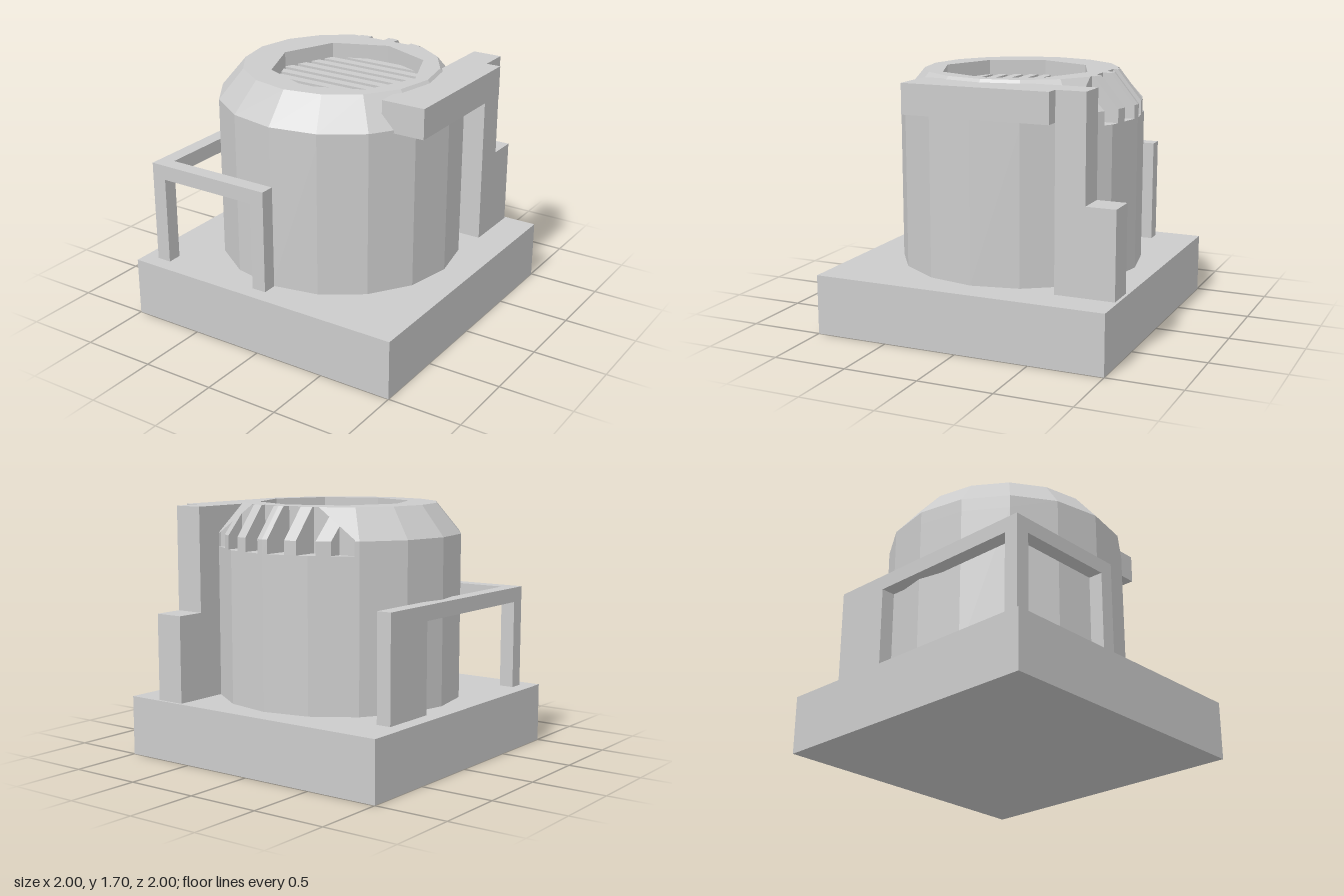
import * as THREE from 'three';

const material = new THREE.MeshStandardMaterial({ color: 0xcccccc, flatShading: true, side: THREE.DoubleSide });

// Drum dimensions
const CX = -0.015, CZ = -0.02, SIDES = 16;
const R = 0.82, R_TOP = 0.655, Y_SLOT = 1.41, Y_RIM = 1.5, Y_TOP = 1.7;
const Z_SLOT = -0.61;
const slots = [-0.51, -0.31, -0.11, 0.09, 0.29, 0.49].map((x) => [x - 0.06, x + 0.06]);

function add(group, name, geometry, x = 0, y = 0, z = 0) {
  const mesh = new THREE.Mesh(geometry, material);
  mesh.name = name;
  mesh.position.set(x, y, z);
  group.add(mesh);
  return mesh;
}

// Box given by its minimum and maximum on each axis
function block(group, name, x0, x1, y0, y1, z0, z1) {
  add(group, name, new THREE.BoxGeometry(x1 - x0, y1 - y0, z1 - z0),
    (x0 + x1) / 2, (y0 + y1) / 2, (z0 + z1) / 2);
}

// Corner of a drum ring
function corner(i, r, y) {
  const a = (i / SIDES) * Math.PI * 2;
  return [CX + r * Math.sin(a), y, CZ + r * Math.cos(a)];
}

// Keep the part of a polygon where sign * (coordinate - limit) >= 0
function clip(poly, axis, limit, sign) {
  const out = [];
  poly.forEach((p, i) => {
    const q = poly[(i + 1) % poly.length];
    const dp = sign * (p[axis] - limit), dq = sign * (q[axis] - limit);
    if (dp >= 0) out.push(p);
    if ((dp >= 0) !== (dq >= 0)) {
      const t = dp / (dp - dq);
      out.push(p.map((v, k) => v + (q[k] - v) * t));
    }
  });
  return out;
}

// The teeth left standing between the slots
function teethOf(poly) {
  const back = clip(poly, 2, Z_SLOT, -1);
  const edges = [-2, ...slots.flat(), 2];
  const pieces = [];
  for (let i = 0; i < edges.length; i += 2) {
    pieces.push(clip(clip(back, 0, edges[i], 1), 0, edges[i + 1], -1));
  }
  return pieces;
}

// Drum ring radius through a point, and the roof height there
function ringRadius(x, z) {
  let d = 0;
  for (let k = 0; k < SIDES; k++) {
    const a = ((k + 0.5) / SIDES) * Math.PI * 2;
    d = Math.max(d, (x - CX) * Math.sin(a) + (z - CZ) * Math.cos(a));
  }
  return d / Math.cos(Math.PI / SIDES);
}
function roof(x, z) {
  const t = THREE.MathUtils.clamp((ringRadius(x, z) - R_TOP) / (R - R_TOP), 0, 1);
  return Y_TOP - t * (Y_TOP - Y_RIM);
}
function outerZ(x) {
  let inside = CZ, outside = -1;
  for (let i = 0; i < 30; i++) {
    const mid = (inside + outside) / 2;
    if (ringRadius(x, mid) < R) inside = mid; else outside = mid;
  }
  return inside;
}

// Vertical slot wall from the slot floor up to the roof
function wall(x0, z0, x1, z1) {
  const polys = [], n = 12;
  const at = (i) => [x0 + (x1 - x0) * i / n, z0 + (z1 - z0) * i / n];
  for (let i = 0; i < n; i++) {
    const [ax, az] = at(i), [bx, bz] = at(i + 1);
    if (ringRadius(ax, az) > R + 1e-4 || ringRadius(bx, bz) > R + 1e-4) continue;
    polys.push([[ax, Y_SLOT, az], [ax, roof(ax, az), az], [bx, roof(bx, bz), bz], [bx, Y_SLOT, bz]]);
  }
  return polys;
}

function fromPolygons(polys) {
  const positions = [];
  for (const p of polys) {
    for (let i = 1; i < p.length - 1; i++) positions.push(...p[0], ...p[i], ...p[i + 1]);
  }
  const geometry = new THREE.BufferGeometry();
  geometry.setAttribute('position', new THREE.Float32BufferAttribute(positions, 3));
  geometry.computeVertexNormals();
  return geometry;
}

function createDrum() {
  const drum = new THREE.Group();
  drum.name = 'drum';
  add(drum, 'drumBody', new THREE.CylinderGeometry(R, R, Y_SLOT - 0.4, SIDES), CX, (Y_SLOT + 0.4) / 2, CZ);

  // Rim and chamfer, notched at the back
  const shell = [];
  for (let i = 0; i < SIDES; i++) {
    for (const [r0, y0, r1, y1] of [[R, Y_SLOT, R, Y_RIM], [R, Y_RIM, R_TOP, Y_TOP]]) {
      const quad = [corner(i, r0, y0), corner(i + 1, r0, y0), corner(i + 1, r1, y1), corner(i, r1, y1)];
      shell.push(clip(quad, 2, Z_SLOT, 1), ...teethOf(quad));
    }
  }
  const topRing = Array.from({ length: SIDES }, (_, i) => corner(i, R_TOP, Y_TOP));
  shell.push(...teethOf(topRing));
  add(drum, 'drumShoulder', fromPolygons(shell));

  // Slot walls
  const walls = [];
  for (const [a, b] of slots) {
    walls.push(...wall(b, Z_SLOT, a, Z_SLOT));
    for (const [x, flip] of [[a, false], [b, true]]) {
      const z = outerZ(x);
      if (z >= Z_SLOT) continue;
      walls.push(...(flip ? wall(x, z, x, Z_SLOT) : wall(x, Z_SLOT, x, z)));
    }
  }
  add(drum, 'slotWalls', fromPolygons(walls));

  // Top face with the octagonal opening
  const ox = 0.05, oz = 0, or = 0.51, floorY = 1.54;
  const shape = new THREE.Shape(clip(topRing, 2, Z_SLOT, 1).map((p) => new THREE.Vector2(p[0], -p[2])));
  shape.holes.push(new THREE.Path(Array.from({ length: 8 }, (_, i) => {
    const a = (i * Math.PI) / 4;
    return new THREE.Vector2(ox + or * Math.cos(a), -oz + or * Math.sin(a));
  })));
  add(drum, 'drumTop', new THREE.ShapeGeometry(shape).rotateX(-Math.PI / 2), 0, Y_TOP, 0);
  add(drum, 'recessWall', new THREE.CylinderGeometry(or, or, Y_TOP - floorY, 8, 1, true), ox, (Y_TOP + floorY) / 2, oz);
  add(drum, 'recessFloor', new THREE.CircleGeometry(or, 8).rotateX(-Math.PI / 2), ox, floorY, oz);

  // Grille slats, cut to the width of the octagon
  const halfWidth = (z) => {
    const k = Math.tan(Math.PI / 8), d = Math.abs(z), c = or * Math.SQRT1_2;
    return d < c ? or - d * k : (or - d) / k;
  };
  for (let i = 0; i < 9; i++) {
    const z0 = -0.455 + i * 0.1, z1 = z0 + 0.06;
    const w = Math.max(halfWidth(z0), halfWidth(z1));
    block(drum, 'grilleSlat', ox - w, ox + w, floorY, 1.6, z0, z1);
  }
  return drum;
}

export function createModel() {
  const model = new THREE.Group();
  model.name = 'machine';
  block(model, 'base', -1, 1, 0, 0.4, -1, 1);
  model.add(createDrum());

  // Arm carried by a stepped post
  block(model, 'armPost', 0.57, 0.77, 0.4, 1.68, -0.78, -0.58);
  block(model, 'armPostStep', 0.57, 0.77, 0.4, 0.98, -0.98, -0.78);
  block(model, 'arm', 0.57, 0.87, 1.48, 1.68, -0.58, 0.42);

  // L-shaped guard rail with its legs
  block(model, 'sideRail', -0.9, -0.8, 1, 1.1, -0.7, 0.9);
  block(model, 'frontRail', -0.8, 0, 1, 1.1, 0.8, 0.9);
  block(model, 'cornerRailLeg', -0.9, -0.8, 0.4, 1, 0.8, 0.9);
  block(model, 'frontRailLeg', -0.1, 0, 0.4, 1, 0.8, 0.9);
  block(model, 'backRailPanel', -0.9, -0.8, 0.4, 1, -0.7, -0.3);
  return model;
}
